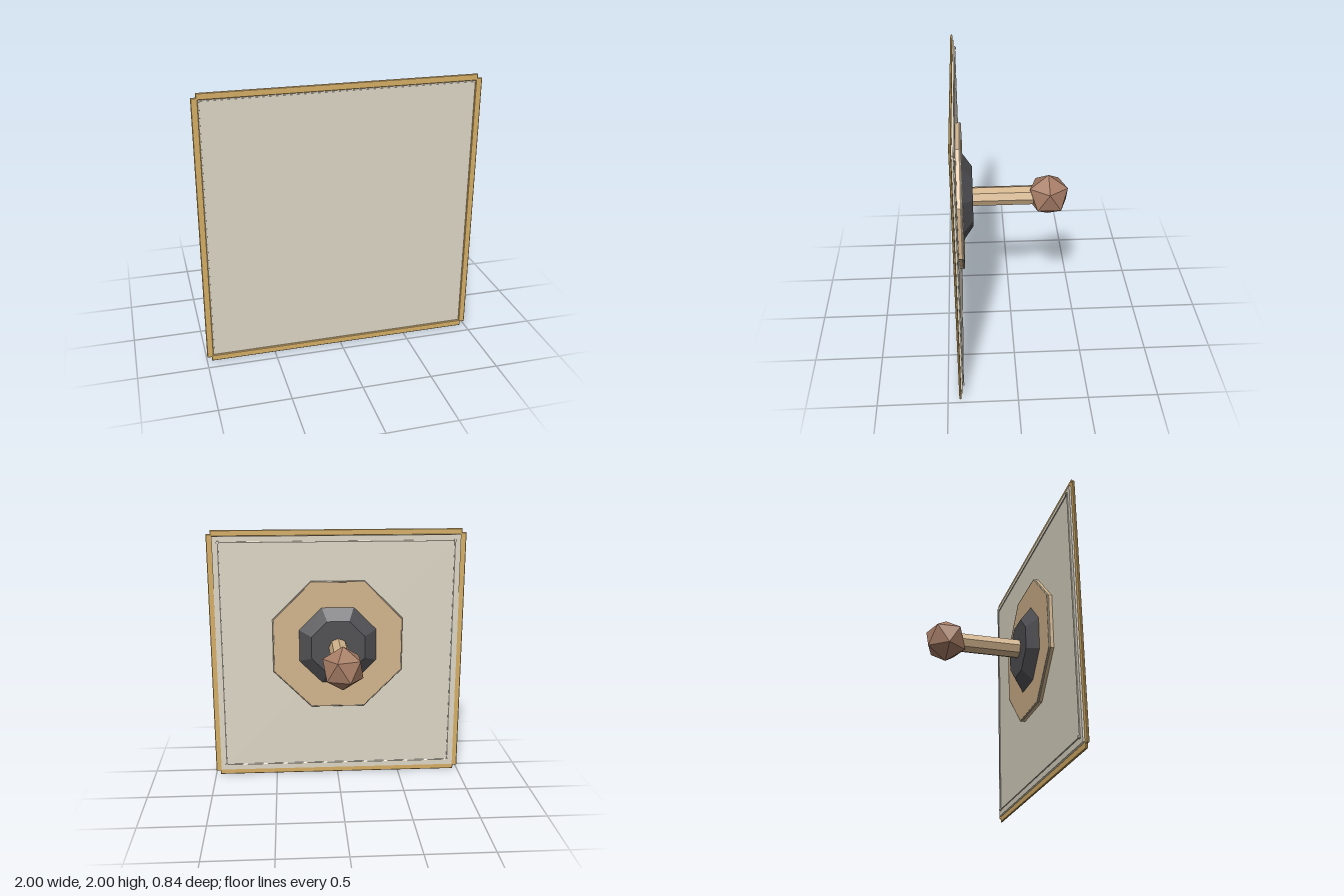
import * as THREE from 'three';

const paint = (name, color) => {
  const m = new THREE.MeshStandardMaterial({ color, flatShading: true });
  m.name = name;
  return m;
};

export function createModel() {
  const gold = paint('gold', 0xd6ae66);
  const cream = paint('cream', 0xddd6c5);
  const tan = paint('tan', 0xd2b48c);
  const charcoal = paint('charcoal', 0x505054);
  const brown = paint('brown', 0xa67c65);

  const model = new THREE.Group();
  model.name = 'squareBoard';
  const add = (name, geometry, material, x = 0, y = 0, z = 0) => {
    const mesh = new THREE.Mesh(geometry, material);
    mesh.name = name;
    mesh.position.set(x, y, z);
    model.add(mesh);
    return mesh;
  };

  // Bar with chamfered edges, centred on its origin
  const bevelBar = (w, h, d, b) => {
    const x = w / 2 - b, y = h / 2 - b;
    const shape = new THREE.Shape([[-x, -y], [x, -y], [x, y], [-x, y]]
      .map(([px, py]) => new THREE.Vector2(px, py)));
    const geo = new THREE.ExtrudeGeometry(shape, {
      depth: d - 2 * b, bevelEnabled: true, bevelSize: b, bevelThickness: b, bevelSegments: 1,
    });
    return geo.translate(0, 0, b - d / 2);
  };

  // Eight-sided prism whose axis runs front to back
  const octagon = (backR, frontR, depth, flatTop) => {
    const geo = new THREE.CylinderGeometry(backR, frontR, depth, 8);
    if (flatTop) geo.rotateY(Math.PI / 8);
    return geo.rotateX(-Math.PI / 2);
  };

  // Thin square board
  add('panel', new THREE.BoxGeometry(1.91, 1.91, 0.015), cream, 0, 1, 0.3995);
  add('panelFace', new THREE.BoxGeometry(1.888, 1.888, 0.006), cream, 0, 1, 0.408);

  // Frame bars, with notched outer corners
  for (const s of [-1, 1]) {
    add('frameSide', bevelBar(0.046, 1.94, 0.015, 0.004), gold, s * 0.975, 1, 0.4115);
    add('frameRail', bevelBar(1.93, 0.046, 0.016, 0.004), gold, 0, 1 + s * 0.977, 0.412);
  }

  // Slim cords and corner studs on the back
  for (const s of [-1, 1]) {
    const cord = new THREE.CylinderGeometry(0.005, 0.005, 1.82, 6);
    add('sideCord', cord, cream, s * 0.91, 1, 0.39);
    add('crossCord', cord.clone().rotateZ(Math.PI / 2), cream, 0, 1 + s * 0.91, 0.39);
    for (const t of [-1, 1]) {
      add('cornerStud', octagon(0.012, 0.012, 0.014, true), cream, s * 0.91, 1 + t * 0.91, 0.387);
    }
  }

  // Octagonal mounting plate with a pale rim
  const midY = 1.1;
  add('mountPlate', octagon(0.547, 0.547, 0.037, true), tan, 0, midY, 0.3735);
  add('mountRim', new THREE.TorusGeometry(0.543, 0.009, 4, 8).rotateZ(Math.PI / 8), cream, 0, midY, 0.363);

  // Tapered collar, handle and faceted knob
  add('collar', octagon(0.225, 0.33, 0.075, true), charcoal, 0, midY, 0.3195);
  add('handle', octagon(0.073, 0.073, 0.54, false), tan, 0, midY, 0.03);
  const golden = (1 + Math.sqrt(5)) / 2;
  const knob = new THREE.IcosahedronGeometry(0.164, 0).rotateZ(-Math.atan(1 / golden));
  add('knob', knob, brown, 0, midY, -0.28);

  return model;
}
